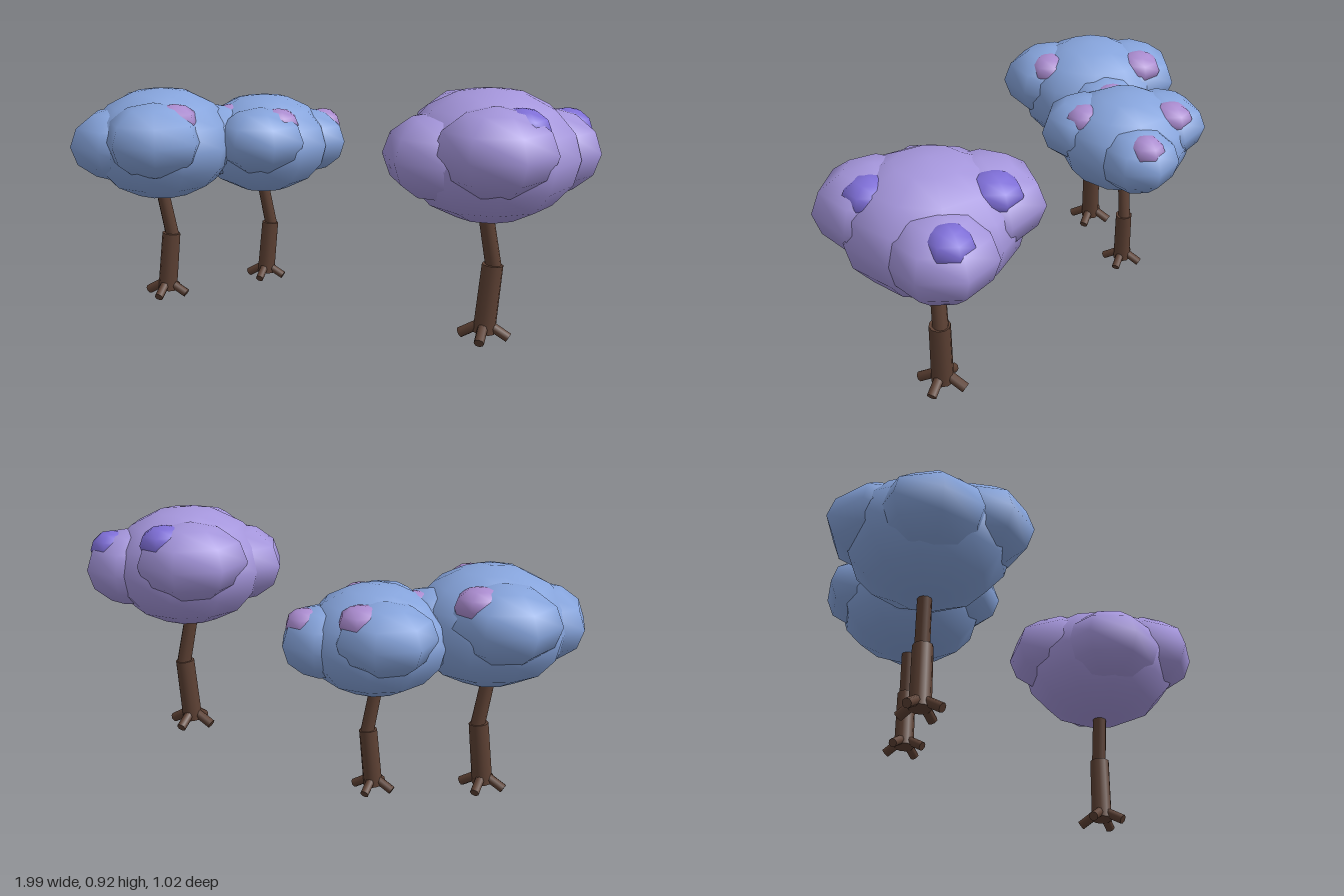
import * as THREE from 'three';

const mat = (name, color) => {
  const m = new THREE.MeshStandardMaterial({ color });
  m.name = name;
  return m;
};

export function createModel() {
  const bark = mat('brown bark', 0x5c4033);
  const blue = mat('blue leaves', 0x86a4dc);
  const purple = mat('purple leaves', 0xa596dc);
  const violet = mat('violet blossom', 0x7f6fd8);
  const mauve = mat('mauve blossom', 0xab8cd0);

  // Squashed low-poly ball with smooth normals
  function puff(name, material, [x, y, z], r, ry, segments, rings, spin) {
    const geo = new THREE.SphereGeometry(1, segments, rings);
    geo.rotateY(Math.PI + spin);
    geo.scale(r, ry, r);
    const mesh = new THREE.Mesh(geo, material);
    mesh.name = name;
    mesh.position.set(x, y, z);
    return mesh;
  }

  // Round bar between two points
  function limb(name, a, b, r0, r1, sides) {
    const from = new THREE.Vector3(...a), to = new THREE.Vector3(...b);
    const dir = to.clone().sub(from);
    const mesh = new THREE.Mesh(new THREE.CylinderGeometry(r1, r0, dir.length(), sides), bark);
    mesh.name = name;
    mesh.position.copy(from).add(to).multiplyScalar(0.5);
    mesh.quaternion.setFromUnitVectors(new THREE.Vector3(0, 1, 0), dir.normalize());
    return mesh;
  }

  // Leaf clumps around the crown: centre, radius, half height, spin, blossom x and z
  const clumps = [
    ['frontClump', [0.05, 0.735, 0.175], 0.215, 0.157, 0, [0.13, 0.147]],
    ['backClump', [-0.1, 0.74, -0.135], 0.22, 0.157, 0, [-0.03, -0.21]],
    ['leftClump', [0.18, 0.69, -0.125], 0.19, 0.155, 0, [0.24, -0.18]],
    ['rightClump', [-0.15, 0.695, 0.1], 0.21, 0.155, -0.4],
  ];

  function tree(name, leaf, blossom, x, y, z, s, spin) {
    const g = new THREE.Group();
    g.name = name;

    // Bent trunk in two pieces
    g.add(limb('lowerTrunk', [-0.003, 0.03, -0.01], [0.019, 0.285, -0.02], 0.041, 0.039, 10));
    g.add(limb('upperTrunk', [0.024, 0.26, -0.026], [-0.012, 0.5, 0], 0.029, 0.027, 10));

    // Four roots
    for (let i = 0; i < 4; i++) {
      const a = (i * Math.PI) / 2, dx = Math.cos(a), dz = Math.sin(a);
      g.add(limb('root', [-0.003, 0.07, -0.01],
        [-0.003 + dx * 0.09, 0.018, -0.01 + dz * 0.09], 0.019, 0.019, 8));
    }

    // Crown, its clumps and the blossom patches on three of them
    g.add(puff('crown', leaf, [0, 0.69, 0], 0.315, 0.235, 10, 8, spin));
    for (const [part, c, r, ry, turn, patch] of clumps) {
      g.add(puff(part, leaf, c, r, ry, 7, 6, spin + turn));
      if (patch) {
        const p = [patch[0], c[1] + ry * 0.5, patch[1]];
        g.add(puff('blossom', blossom, p, r * 0.46, ry * 0.46, 7, 6, spin));
      }
    }

    g.scale.setScalar(s);
    g.position.set(x, y, z);
    return g;
  }

  const model = new THREE.Group();
  model.name = 'grove';
  model.add(
    tree('rightBlueTree', blue, mauve, -0.67, 0.005, 0.04, 0.91, -0.22),
    tree('middleBlueTree', blue, mauve, -0.345, 0.036, -0.215, 0.825, 0),
    tree('purpleTree', purple, violet, 0.63, 0, 0.13, 1, 0),
  );
  return model;
}
